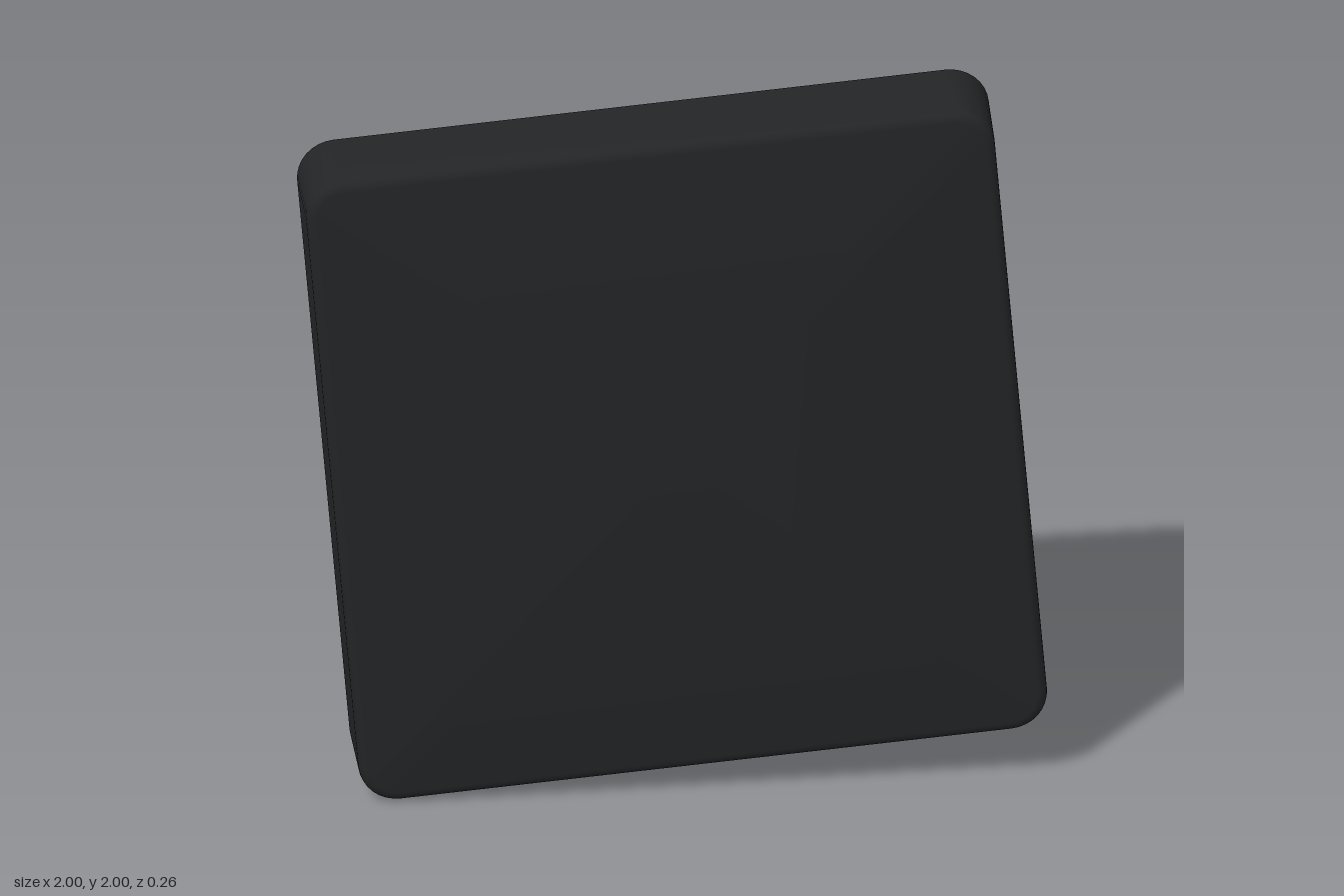
import * as THREE from 'three';
import { toCreasedNormals } from 'three/addons/utils/BufferGeometryUtils.js';

const SEG = 8; // steps per rounded corner

// Rounded square outline at depth z, counter-clockwise seen from the front
function ring([half, radius, z]) {
  const points = [];
  for (let c = 0; c < 4; c++) {
    const sx = c === 0 || c === 3 ? 1 : -1;
    const sy = c < 2 ? 1 : -1;
    for (let i = 0; i <= SEG; i++) {
      const a = (c + i / SEG) * Math.PI / 2;
      points.push(new THREE.Vector3(
        sx * (half - radius) + radius * Math.cos(a),
        sy * (half - radius) + radius * Math.sin(a), z));
    }
  }
  return points;
}

// Skin a chain of outlines, closing both ends with a fan
function loft(sections) {
  const rings = sections.map(ring);
  const positions = [];
  const tri = (a, b, c) => positions.push(...a.toArray(), ...b.toArray(), ...c.toArray());
  const n = rings[0].length;
  const last = rings.length - 1;
  const start = new THREE.Vector3(0, 0, sections[0][2]);
  const end = new THREE.Vector3(0, 0, sections[last][2]);
  for (let j = 0; j < n; j++) {
    const k = (j + 1) % n;
    tri(start, rings[0][j], rings[0][k]);
    for (let i = 0; i < last; i++) {
      tri(rings[i][j], rings[i + 1][j], rings[i + 1][k]);
      tri(rings[i][j], rings[i + 1][k], rings[i][k]);
    }
    tri(end, rings[last][k], rings[last][j]);
  }
  const geometry = new THREE.BufferGeometry();
  geometry.setAttribute('position', new THREE.Float32BufferAttribute(positions, 3));
  return toCreasedNormals(geometry, 0.6);
}

export function createModel() {
  const material = new THREE.MeshStandardMaterial({ color: 0x222426 });
  const model = new THREE.Group();
  const cap = new THREE.Group();
  cap.name = 'squareCap';

  // Each section: half width, corner radius, z
  const sections = [];
  const edge = 0.03;
  for (let i = 0; i <= 5; i++) { // softened front edge
    const a = i / 5 * Math.PI / 2;
    const inset = edge * (1 - Math.sin(a));
    sections.push([0.928 - inset, 0.105 - inset, 0.13 - edge * (1 - Math.cos(a))]);
  }
  sections.push([0.932, 0.108, -0.13]); // back of the outer wall
  sections.push([0.865, 0.012, -0.13]); // rim
  sections.push([0.865, 0.012, -0.02]); // straight inner wall
  sections.push([0.85, 0.012, -0.02]);  // narrow step
  for (let i = 1; i <= 6; i++) { // hollow sweeping into the floor
    const a = i / 6 * Math.PI / 2;
    sections.push([0.85 - 0.13 * (1 - Math.cos(a)), 0.012, -0.02 + 0.1 * Math.sin(a)]);
  }
  const shell = new THREE.Mesh(loft(sections), material);
  shell.name = 'shell';
  cap.add(shell);

  // Corner post with a scooped inner corner
  for (const sx of [-1, 1]) {
    for (const sy of [-1, 1]) {
      const p = (x, y) => [sx * (0.87 - x), sy * (0.87 - y)];
      const shape = new THREE.Shape();
      shape.moveTo(...p(0, 0));
      shape.lineTo(...p(0.2, 0));
      shape.lineTo(...p(0.2, 0.04));
      shape.quadraticCurveTo(...p(0.13, 0.04), ...p(0.12, 0.1));
      shape.lineTo(...p(0, 0.1));
      shape.closePath();
      const post = new THREE.Mesh(
        new THREE.ExtrudeGeometry(shape, { depth: 0.17, bevelEnabled: false, curveSegments: 8 }),
        material);
      post.position.z = -0.08;
      post.name = 'cornerPost';
      cap.add(post);
    }
  }

  // The cap leans slightly to one side
  cap.rotation.z = THREE.MathUtils.degToRad(4.9);
  cap.position.y = 1;
  model.add(cap);
  return model;
}
